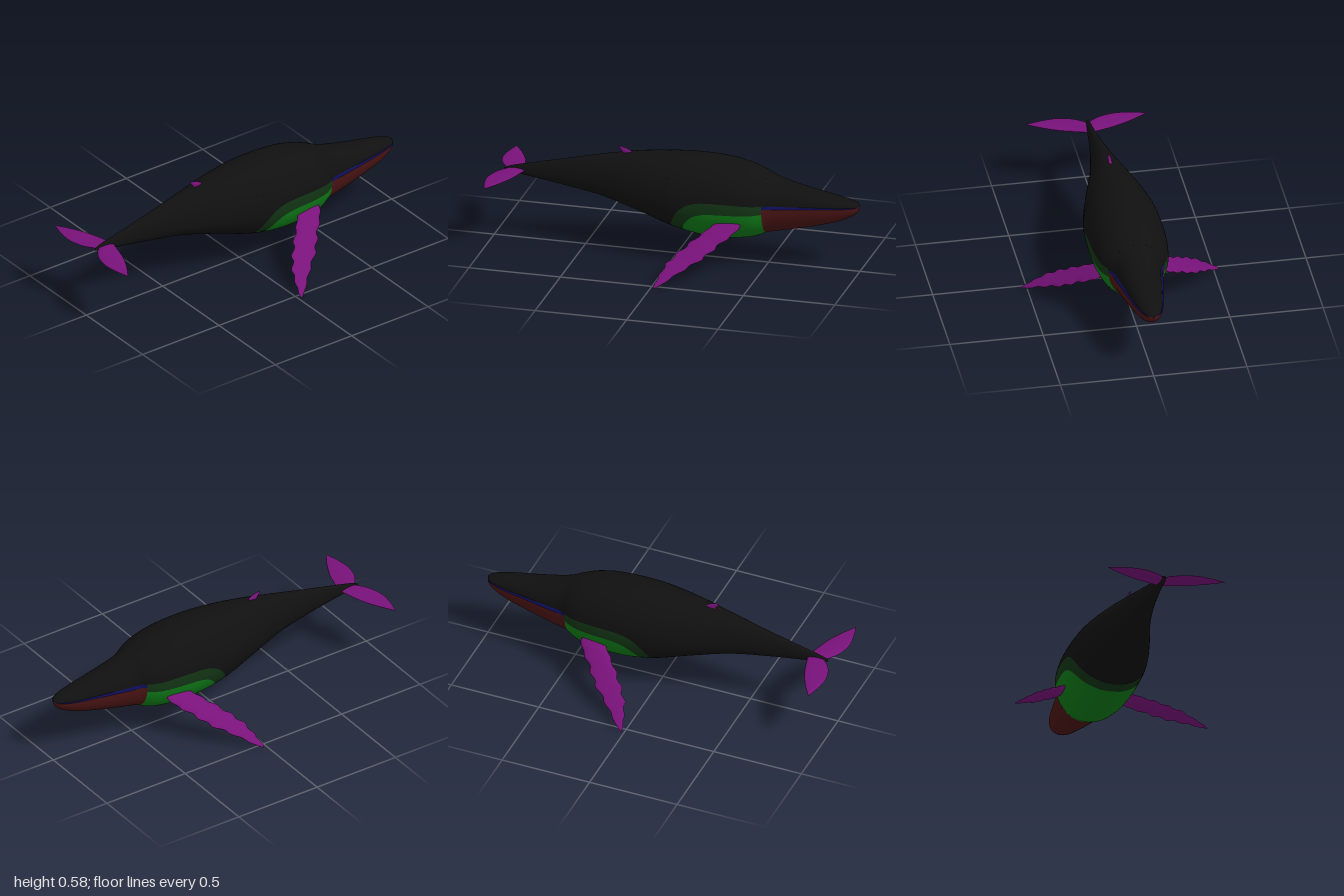
import * as THREE from 'three';

const mat = (name, color) => Object.assign(new THREE.MeshStandardMaterial({ color }), { name });
const BLACK = mat('black skin', 0x101010);
const DARK_GREEN = mat('dark green', 0x123414);
const GREEN = mat('green', 0x0f7a17);
const RED = mat('dark red', 0x4a1414);
const BLUE = mat('navy', 0x0c0c55);
const PURPLE = mat('purple', 0x78127a);

// Smooth interpolation of table rows by their first column
function sample(rows, t) {
  const last = rows.length - 1;
  t = Math.min(Math.max(t, rows[0][0]), rows[last][0]);
  let i = 0;
  while (i < last - 1 && t > rows[i + 1][0]) i++;
  const slope = (k, c) => {
    const a = rows[Math.max(k - 1, 0)], b = rows[Math.min(k + 1, last)];
    return (b[c] - a[c]) / (b[0] - a[0]);
  };
  const p = rows[i], q = rows[i + 1], h = q[0] - p[0], u = (t - p[0]) / h;
  return p.map((v, c) => c === 0 ? t
    : v * (1 + 2 * u) * (1 - u) ** 2 + q[c] * u * u * (3 - 2 * u)
      + h * u * (1 - u) * (slope(i, c) * (1 - u) - slope(i + 1, c) * u));
}

// Surface over a grid of points fn(u, v)
function grid(nu, nv, fn, flip = false) {
  const pos = [], index = [];
  for (let i = 0; i <= nu; i++)
    for (let j = 0; j <= nv; j++) pos.push(...fn(i / nu, j / nv));
  for (let i = 0; i < nu; i++)
    for (let j = 0; j < nv; j++) {
      const a = i * (nv + 1) + j, b = a + 1, c = a + nv + 1, d = c + 1;
      if (flip) index.push(a, c, b, b, c, d);
      else index.push(a, b, c, b, d, c);
    }
  const g = new THREE.BufferGeometry();
  g.setAttribute('position', new THREE.Float32BufferAttribute(pos, 3));
  g.setIndex(index);
  g.computeVertexNormals();
  return g;
}

// Body profile: z, top, widest height, bottom, half width
const BODY = [
  [-1, 0.378, 0.372, 0.366, 0.002],
  [-0.985, 0.388, 0.371, 0.336, 0.032],
  [-0.95, 0.4, 0.37, 0.31, 0.054],
  [-0.88, 0.416, 0.367, 0.277, 0.075],
  [-0.75, 0.44, 0.363, 0.24, 0.1],
  [-0.6, 0.475, 0.357, 0.205, 0.125],
  [-0.52, 0.503, 0.354, 0.188, 0.137],
  [-0.5, 0.512, 0.354, 0.183, 0.15],
  [-0.45, 0.531, 0.354, 0.161, 0.176],
  [-0.4, 0.548, 0.355, 0.148, 0.19],
  [-0.3, 0.57, 0.356, 0.135, 0.202],
  [-0.15, 0.58, 0.356, 0.14, 0.205],
  [0, 0.576, 0.357, 0.172, 0.195],
  [0.2, 0.558, 0.365, 0.238, 0.146],
  [0.4, 0.523, 0.375, 0.293, 0.087],
  [0.6, 0.478, 0.382, 0.325, 0.046],
  [0.8, 0.432, 0.385, 0.355, 0.021],
  [0.91, 0.404, 0.386, 0.372, 0.013],
  [0.945, 0.389, 0.386, 0.383, 0.003],
];

// Skin point at z and an angle in degrees from the belly; the upper head is narrower than the jaw
function skin(z, deg) {
  const [, top, mid, bottom, w] = sample(BODY, z);
  const a = deg * Math.PI / 180, c = Math.cos(a);
  const up = Math.acos(c) * 180 / Math.PI;
  const inset = 0.08 * THREE.MathUtils.clamp((up - 90) / 6, 0, 1)
    * THREE.MathUtils.clamp((-0.5 - z) / 0.06, 0, 1);
  return [w * (1 - inset) * Math.sin(a), mid - c * (c > 0 ? mid - bottom : top - mid), z];
}

// Fin outline rows: span, leading z, trailing z, half thickness
const FLIPPER = [
  [0, -0.395, -0.33, 0.012], [0.03, -0.395, -0.26, 0.014], [0.08, -0.375, -0.22, 0.014],
  [0.16, -0.31, -0.155, 0.012], [0.25, -0.245, -0.09, 0.009], [0.32, -0.175, -0.05, 0.007],
  [0.39, -0.105, -0.03, 0.005], [0.44, -0.06, -0.017, 0.003], [0.472, -0.022, -0.016, 0.001],
];
const FLUKE = [
  [0, 0.825, 0.92, 0.012], [0.03, 0.835, 0.948, 0.012], [0.08, 0.848, 0.978, 0.01],
  [0.16, 0.873, 0.996, 0.008], [0.24, 0.912, 0.988, 0.005], [0.29, 0.943, 0.976, 0.003],
  [0.324, 0.965, 0.967, 0.001],
];
const DORSAL = [
  [0, 0.225, 0.3, 0.011], [0.015, 0.245, 0.304, 0.01],
  [0.03, 0.272, 0.315, 0.007], [0.042, 0.308, 0.323, 0.002],
];

// Foil lofted along x, with an optional wavy edge
function fin(rows, side = 1, wave = 0) {
  const span = rows[rows.length - 1][0];
  return grid(40, 16, (u, v) => {
    const [s, lead, trail, thick] = sample(rows, u * span);
    const ripple = wave * Math.sin(u * Math.PI * 13) * Math.sin(u * Math.PI);
    const t = v * Math.PI * 2, r = (trail - lead) / 2;
    return [side * s, -thick * Math.sin(t), (lead + trail) / 2 + r * Math.cos(t) + ripple];
  }, side < 0);
}

export function createModel() {
  const model = new THREE.Group();
  model.name = 'whale';
  const add = (name, geometry, material) => {
    const m = new THREE.Mesh(geometry, material);
    m.name = name;
    model.add(m);
    return m;
  };
  // Strip of skin between two angles that may vary with z
  const strip = (name, material, zAt, n, from, to, nv) =>
    add(name, grid(n, nv, (u, v) => {
      const z = zAt(u), a = from(z), b = to(z);
      return skin(z, a + (b - a) * v);
    }), material);
  const k = (v) => () => v;

  // Head: jaw below, lip line on both sides, upper head above
  const headZ = (u) => -0.5 - 0.5 * Math.sin((1 - u) * Math.PI / 2);
  strip('lowerJaw', RED, headZ, 40, k(-90), k(90), 32);
  strip('leftLip', BLUE, headZ, 40, k(90), k(96), 2);
  strip('rightLip', BLUE, headZ, 40, k(-96), k(-90), 2);
  strip('upperHead', BLACK, headZ, 40, k(96), k(264), 32);

  // Chest: green throat with a darker rim, fading out toward the belly
  const chestZ = (u) => -0.5 + 0.51 * Math.sin(u * Math.PI / 2);
  const edge = (angle, length) => (z) =>
    angle * Math.sqrt(Math.max(0, 1 - ((z + 0.5) / length) ** 8));
  const inner = edge(81, 0.45), outer = edge(97, 0.51);
  strip('throat', GREEN, chestZ, 60, (z) => -inner(z), inner, 32);
  strip('leftThroatRim', DARK_GREEN, chestZ, 60, inner, outer, 12);
  strip('rightThroatRim', DARK_GREEN, chestZ, 60, (z) => -outer(z), (z) => -inner(z), 12);
  strip('back', BLACK, chestZ, 60, outer, (z) => 360 - outer(z), 48);

  // Rear body
  strip('tailStock', BLACK, (u) => 0.01 + 0.935 * u, 50, k(0), k(360), 48);

  // Paired fins
  for (const [label, side] of [['left', 1], ['right', -1]]) {
    const flipper = add(label + 'Flipper', fin(FLIPPER, side, 0.009), PURPLE);
    flipper.position.set(side * 0.15, 0.284, 0);
    flipper.rotation.z = -side * 0.632;
    add(label + 'Fluke', fin(FLUKE, side), PURPLE).position.y = 0.387;
  }

  // Small hooked fin on the back
  const dorsal = add('dorsalFin', fin(DORSAL), PURPLE);
  dorsal.rotation.z = Math.PI / 2;
  dorsal.position.y = 0.535;
  return model;
}
